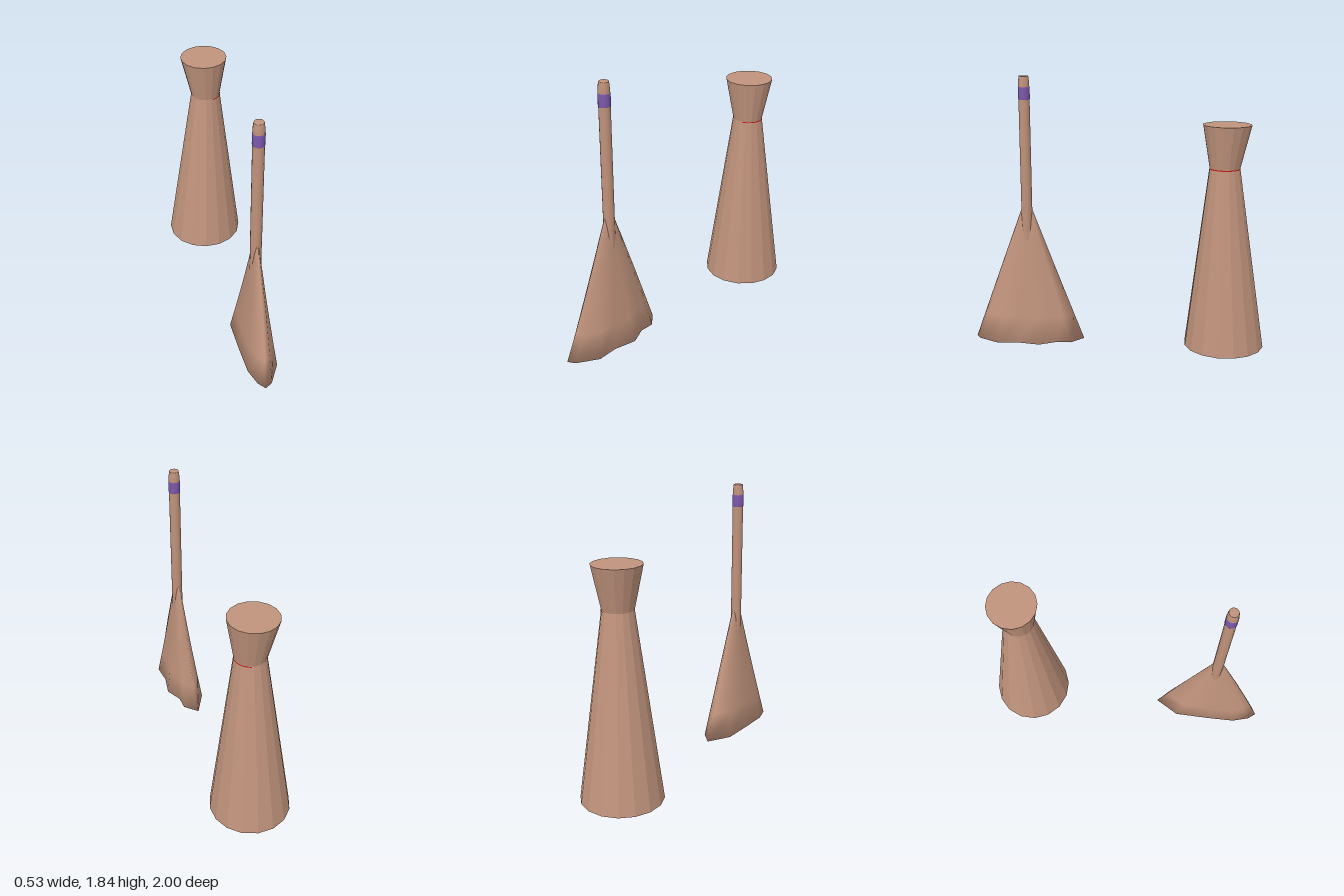
import * as THREE from 'three';

export function createModel() {
  const brown = new THREE.MeshStandardMaterial({ color: 0xc0937c });
  brown.name = 'brown';
  const facetBrown = brown;
  const purple = new THREE.MeshStandardMaterial({ color: 0x7c58ac });
  purple.name = 'purple';
  const red = new THREE.MeshStandardMaterial({ color: 0xc81414, side: THREE.DoubleSide });
  red.name = 'red';

  const model = new THREE.Group();
  const add = (parent, name, geometry, material, x = 0, y = 0, z = 0) => {
    const mesh = new THREE.Mesh(geometry, material);
    mesh.name = name;
    mesh.position.set(x, y, z);
    parent.add(mesh);
    return mesh;
  };

  // Leaning frustum between two centres [x, y, z, radius], with flat facets
  const frustum = (low, high) => {
    const h = high[1] - low[1];
    const g = new THREE.CylinderGeometry(high[3], low[3], h, 16, 1).toNonIndexed();
    g.rotateY(Math.PI / 16);
    g.translate(0, h / 2, 0);
    const p = g.attributes.position;
    for (let i = 0; i < p.count; i++) {
      const t = p.getY(i) / h;
      p.setXYZ(i,
        p.getX(i) + THREE.MathUtils.lerp(low[0], high[0], t),
        p.getY(i) + low[1],
        p.getZ(i) + THREE.MathUtils.lerp(low[2], high[2], t));
    }
    g.computeVertexNormals();
    return g;
  };

  // Tall faceted cone with a flared top
  const cone = new THREE.Group();
  cone.name = 'flaredCone';
  model.add(cone);
  const neck = [0.02, 1.245, -0.705, 0.102];
  add(cone, 'coneBody', frustum([0, 0, -0.73, 0.272], neck), facetBrown);
  add(cone, 'coneFlare', frustum(neck, [0.013, 1.53, -0.715, 0.161]), facetBrown);
  // Fine line on one side of the neck
  add(cone, 'neckLine',
    new THREE.CylinderGeometry(0.104, 0.104, 0.007, 12, 1, true, Math.PI * 0.1, Math.PI * 0.8),
    red, neck[0], 1.241, neck[2]);

  const broom = new THREE.Group();
  broom.name = 'broom';
  model.add(broom);

  // Handle with a painted band and a rounded end
  const hx = 0.015, hz = 0.62, r = 0.037;
  const lathe = (pts) => new THREE.LatheGeometry(pts.map(([a, b]) => new THREE.Vector2(a, b)), 16);
  add(broom, 'handle', lathe([[0, 0.69], [r, 0.69], [r, 1.69]]), brown, hx, 0, hz);
  add(broom, 'handleBand', lathe([[r, 1.685], [0.039, 1.69], [0.039, 1.765], [r, 1.768]]), purple, hx, 0, hz);
  add(broom, 'handleEnd',
    lathe([[r, 1.765], [r, 1.79], [0.034, 1.82], [0.032, 1.836], [0.03, 1.84], [0, 1.84]]),
    brown, hx, 0, hz);

  // Bristle head: a wavy hem [x, z] narrowing to a slim oval around the handle
  const hem = [
    [0, 0.24], [0.085, 0.325], [0.085, 0.425], [0.14, 0.54], [0.11, 0.69], [0.12, 0.83],
    [0.04, 0.97], [-0.01, 1.0], [-0.05, 0.95], [-0.085, 0.835], [-0.09, 0.64], [-0.09, 0.40],
  ];
  const n = hem.length;
  const levels = [0.015, 0.2, 0.4, 0.55, 0.7, 0.84, 0.95];
  const pos = [], index = [];
  levels.forEach((y) => {
    const t = (y - 0.015) / 0.935;
    const halfZ = THREE.MathUtils.lerp(0.38, 0.035, t);
    const halfX = THREE.MathUtils.lerp(0.112, 0.014, t);
    const wave = Math.max(0, 1 - t * 1.6);
    hem.forEach(([x, z]) => {
      const w = (z - 0.62) / 0.38;
      const side = x > 0 ? 1 : x < -0.02 ? -1 : 0;
      const oval = hx + side * halfX * Math.sqrt(Math.max(0, 1 - w * w));
      const scaled = hx + (x - hx) * halfX / 0.112;
      pos.push(THREE.MathUtils.lerp(oval, scaled, wave), y, 0.62 + w * halfZ);
    });
  });
  for (let j = 0; j < levels.length - 1; j++) {
    for (let i = 0; i < n; i++) {
      const a = j * n + i, b = j * n + (i + 1) % n;
      index.push(a, a + n, b, b, a + n, b + n);
    }
  }
  // Caps share the rims so the shading rolls over softly
  const base = pos.length / 3;
  pos.push(hx, 0.015, 0.62, hx, 0.95, 0.62);
  const last = (levels.length - 1) * n;
  for (let i = 0; i < n; i++) {
    const k = (i + 1) % n;
    index.push(base, i, k, base + 1, last + k, last + i);
  }
  const head = new THREE.BufferGeometry();
  head.setAttribute('position', new THREE.Float32BufferAttribute(pos, 3));
  head.setIndex(index);
  head.computeVertexNormals();
  add(broom, 'bristleHead', head, brown);

  return model;
}
